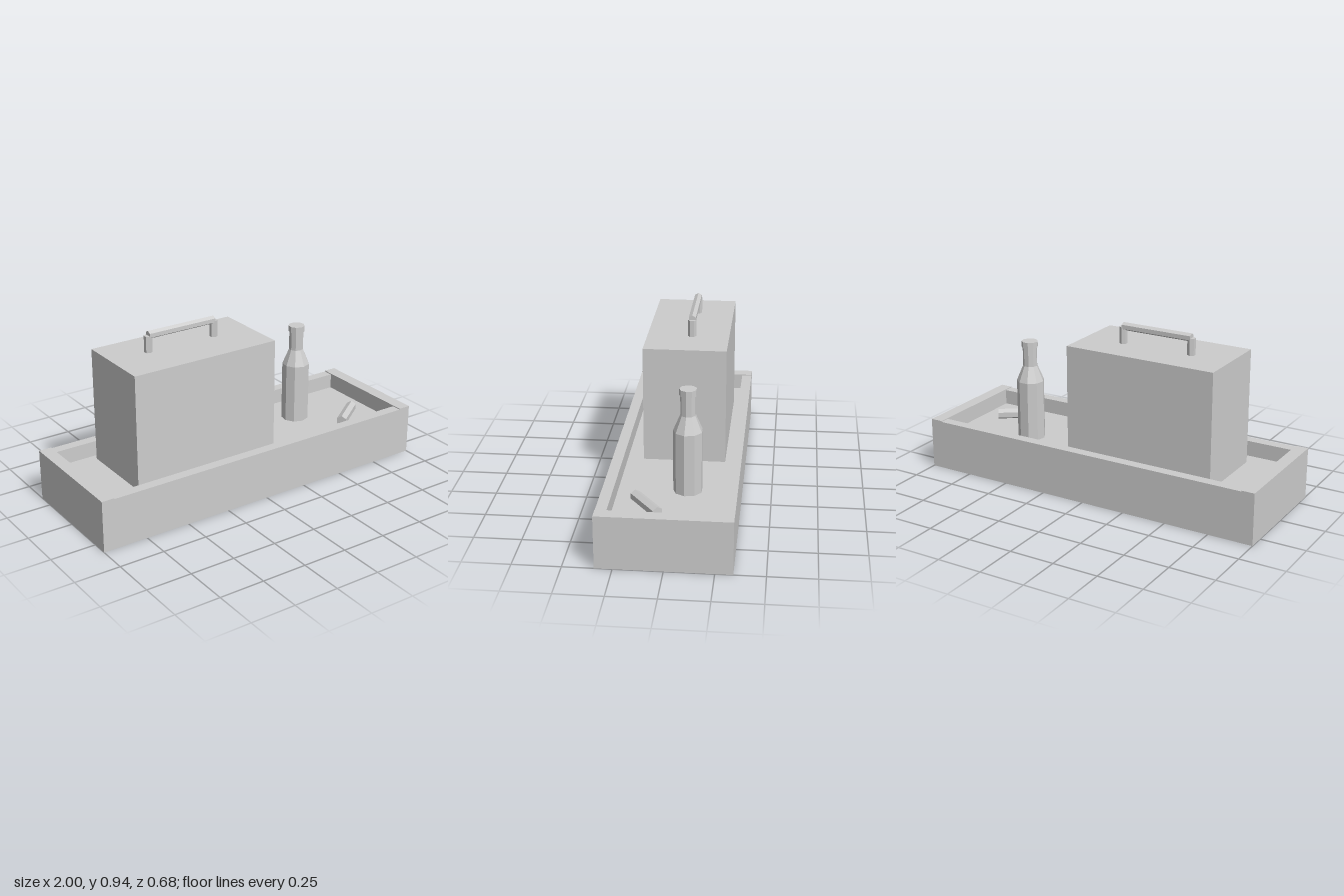
import * as THREE from 'three';

const grey = new THREE.MeshStandardMaterial({ color: 0xcccccc, flatShading: true });
grey.name = 'plain grey';

const FLOOR = 0.195;

function add(parent, name, geometry, x, y, z) {
  const mesh = new THREE.Mesh(geometry, grey);
  mesh.name = name;
  mesh.position.set(x, y, z);
  parent.add(mesh);
  return mesh;
}

// box given by its min and max corners
function block(parent, name, [x0, y0, z0], [x1, y1, z1]) {
  return add(parent, name, new THREE.BoxGeometry(x1 - x0, y1 - y0, z1 - z0),
    (x0 + x1) / 2, (y0 + y1) / 2, (z0 + z1) / 2);
}

// six-sided rod lying along x with one edge on top
function hexRod(radius, length) {
  return new THREE.CylinderGeometry(radius, radius, length, 6)
    .rotateY(Math.PI / 6).rotateZ(Math.PI / 2);
}

function createTray() {
  const tray = new THREE.Group();
  tray.name = 'tray';
  block(tray, 'trayFloor', [-0.93, 0, -0.283], [0.93, FLOOR, 0.283]);
  for (const side of [-1, 1]) {
    const end = side < 0 ? 'right' : 'left';
    const edge = side < 0 ? 'back' : 'front';
    // end walls stand slightly above the long walls
    add(tray, end + 'EndWall', new THREE.BoxGeometry(0.07, 0.285, 0.68), side * 0.965, 0.1425, 0);
    add(tray, edge + 'Wall', new THREE.BoxGeometry(1.86, 0.28, 0.057), 0, 0.14, side * 0.3115);
  }
  return tray;
}

function createCase() {
  const box = new THREE.Group();
  box.name = 'case';
  block(box, 'caseBody', [-0.71, FLOOR, -0.245], [0.145, 0.83, 0.197]);
  // carrying handle
  for (const x of [-0.486, -0.083]) {
    add(box, 'handlePost', new THREE.CylinderGeometry(0.022, 0.022, 0.09, 6), x, 0.875, -0.045);
  }
  add(box, 'handleBar', hexRod(0.022, 0.403), -0.2845, 0.923, -0.045);
  return box;
}

function createBottle() {
  const profile = [
    [0, FLOOR], [0.0765, FLOOR], [0.0765, 0.53], [0.04, 0.617],
    [0.04, 0.723], [0.0455, 0.723], [0.0455, 0.757], [0, 0.757],
  ].map(([r, y]) => new THREE.Vector2(r, y));
  const bottle = new THREE.Group();
  bottle.name = 'bottle';
  add(bottle, 'bottleBody', new THREE.LatheGeometry(profile, 9), 0.497, 0, -0.0755);
  return bottle;
}

export function createModel() {
  const model = new THREE.Group();
  model.name = 'trayWithCaseAndBottle';
  model.add(createTray(), createCase(), createBottle());
  // loose rod lying on the tray floor
  const rod = add(model, 'looseRod', hexRod(0.03, 0.225), 0.728, FLOOR + 0.03, 0.114);
  rod.rotation.y = 0.63;
  return model;
}
